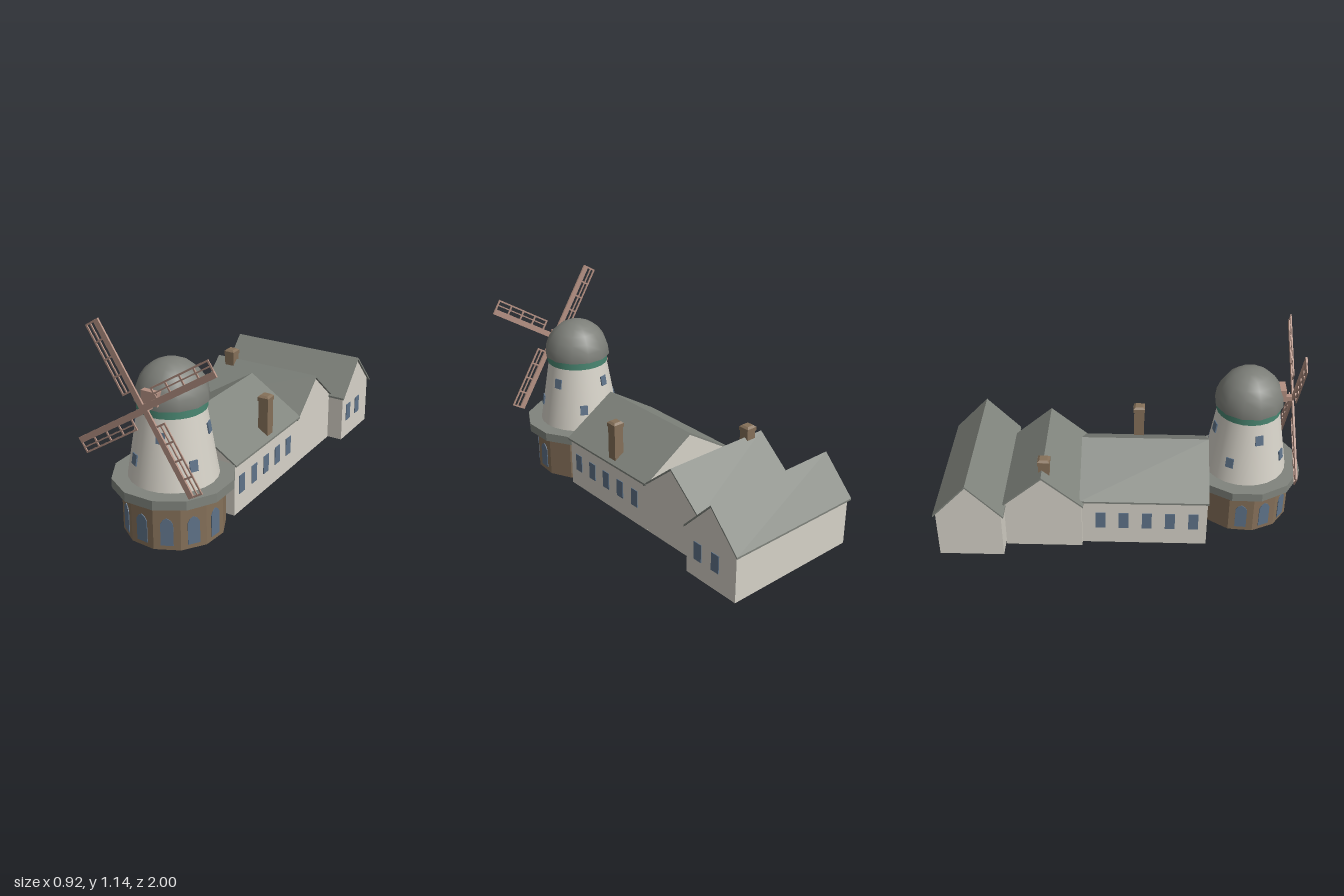
import * as THREE from 'three';
import { mergeGeometries } from 'three/addons/utils/BufferGeometryUtils.js';

const mat = (name, color, extra = {}) => {
  const m = new THREE.MeshStandardMaterial({ color, ...extra });
  m.name = name;
  return m;
};

export function createModel() {
  const cream = mat('cream plaster', 0xd6d2c8, { side: THREE.DoubleSide });
  const brick = mat('brown brick', 0x857059, { flatShading: true });
  const slate = mat('grey roof', 0x80847d, { flatShading: true });
  const capGrey = mat('cap grey', 0x7d7f79);
  const glass = mat('blue glass', 0x5f7389);
  const green = mat('green band', 0x4a8772);
  const timber = mat('sail timber', 0xb39082);

  const model = new THREE.Group();
  const add = (parent, name, geo, material, x = 0, y = 0, z = 0) => {
    const mesh = new THREE.Mesh(geo, material);
    mesh.name = name;
    mesh.position.set(x, y, z);
    parent.add(mesh);
    return mesh;
  };
  const group = (parent, name, x = 0, y = 0, z = 0) => {
    const g = new THREE.Group();
    g.name = name;
    g.position.set(x, y, z);
    parent.add(g);
    return g;
  };
  const polygon = (points) => new THREE.Shape(points.map(([x, y]) => new THREE.Vector2(x, y)));
  const rad = THREE.MathUtils.degToRad;

  // ---- Tower mill ----
  const mill = group(model, 'mill', 0.05, 0, 0.695);
  add(mill, 'brickBase', new THREE.CylinderGeometry(0.264, 0.264, 0.25, 12), brick, 0, 0.125)
    .rotation.y = rad(15 - 4.5);
  add(mill, 'gallery', new THREE.CylinderGeometry(0.316, 0.316, 0.05, 12), slate, 0, 0.275)
    .rotation.y = rad(15);
  add(mill, 'towerBody', new THREE.CylinderGeometry(0.169, 0.232, 0.38, 24, 1, true), cream, 0, 0.49);
  add(mill, 'greenBand', new THREE.CylinderGeometry(0.177, 0.177, 0.045, 24), green, 0, 0.687);

  // Domed cap with a flat underside
  const dome = new THREE.SphereGeometry(0.19, 12, 6, 0, Math.PI * 2, 0, Math.PI / 2);
  dome.scale(1, 1.08, 1);
  const underside = new THREE.CircleGeometry(0.19, 12);
  underside.rotateX(Math.PI / 2);
  const cap = add(mill, 'cap', mergeGeometries([dome, underside]), capGrey, 0, 0.707);
  cap.rotation.y = rad(15);

  // Pointed arch windows on the brick base
  const arch = new THREE.ExtrudeGeometry(polygon([
    [-0.032, 0.025], [0.032, 0.025], [0.032, 0.145], [0.02, 0.165],
    [0, 0.177], [-0.02, 0.165], [-0.032, 0.145]]), { depth: 0.006, bevelEnabled: false });
  for (let i = -3; i <= 3; i++) {
    const holder = group(mill, 'archWindow');
    holder.rotation.y = rad(-4.5 + 30 * i);
    add(holder, 'archPane', arch, glass, 0, 0, 0.253);
  }

  // Two rings of small windows, leaning with the tower wall
  for (const [angle, y] of [[16, 0.57], [-28, 0.423]]) {
    for (let i = 0; i < 4; i++) {
      const holder = group(mill, 'towerWindow');
      holder.rotation.y = rad(angle + 90 * i);
      const r = 0.232 - (y - 0.3) * 0.063 / 0.38;
      add(holder, 'towerPane', new THREE.BoxGeometry(0.044, 0.057, 0.009), glass, 0, y, r)
        .rotation.x = -Math.atan(0.063 / 0.38);
    }
  }

  // Sail shaft and its housing
  add(mill, 'shaftHousing', new THREE.BoxGeometry(0.094, 0.07, 0.1), timber, 0.003, 0.77, 0.143);
  add(mill, 'sailShaft', new THREE.BoxGeometry(0.028, 0.028, 0.14), timber, 0.003, 0.732, 0.165);

  // Four lattice sails
  const sails = group(mill, 'sails', 0.003, 0.732, 0.235);
  const bar = (x0, x1, y0, y1, depth) => {
    const g = new THREE.BoxGeometry(x1 - x0, y1 - y0, depth);
    g.translate((x0 + x1) / 2, (y0 + y1) / 2, 0);
    return g;
  };
  const bars = [
    bar(0, 0.475, -0.011, 0.021, 0.01),
    bar(0.097, 0.475, 0.069, 0.078, 0.006),
    bar(0.097, 0.475, 0.043, 0.05, 0.006),
  ];
  for (let i = 0; i < 5; i++) {
    const x = 0.097 + i * 0.0925;
    bars.push(bar(x, x + 0.009, 0.01, 0.078, 0.006));
  }
  const sail = mergeGeometries(bars);
  for (let i = 0; i < 4; i++) {
    add(sails, 'sail', sail, timber).rotation.z = rad(32.5 + 90 * i);
  }

  // ---- Gabled buildings: the ridge runs along local z, the walls are open below ----
  function building(name, o) {
    const g = group(model, name, o.x, 0, o.z);
    if (o.across) g.rotation.y = Math.PI / 2;
    const t = 0.011;
    const { halfRoof: hr, halfWall: hw, roofLength, wallLength, ridge, eave } = o;
    const wallTop = ridge - t - (ridge - eave) * hw / hr;

    const walls = [];
    const gable = polygon([[-hw, 0], [hw, 0], [hw, wallTop], [0, ridge - t], [-hw, wallTop]]);
    for (const s of [0, 1]) {
      const end = new THREE.ShapeGeometry(gable);
      end.translate(0, 0, wallLength / 2);
      end.rotateY(s * Math.PI);
      const side = new THREE.PlaneGeometry(wallLength, wallTop);
      side.translate(0, wallTop / 2, hw);
      side.rotateY(Math.PI / 2 + s * Math.PI);
      walls.push(end, side);
    }
    add(g, 'walls', mergeGeometries(walls), cream);

    const roof = new THREE.ExtrudeGeometry(polygon([
      [-hr, eave - t], [0, ridge - t], [hr, eave - t], [hr, eave], [0, ridge], [-hr, eave]]),
    { depth: roofLength, bevelEnabled: false });
    add(g, 'roof', roof, slate, 0, 0, -roofLength / 2);
  }
  building('longHall', { x: -0.029, z: 0.132, halfRoof: 0.317, halfWall: 0.301,
    roofLength: 0.703, wallLength: 0.69, ridge: 0.5, eave: 0.299 });
  building('middleHouse', { x: -0.046, z: -0.418, across: true, halfRoof: 0.22, halfWall: 0.21,
    roofLength: 0.662, wallLength: 0.634, ridge: 0.478, eave: 0.289 });
  building('rearHouse', { x: -0.045, z: -0.81, across: true, halfRoof: 0.19, halfWall: 0.176,
    roofLength: 0.835, wallLength: 0.81, ridge: 0.478, eave: 0.278 });

  // Wall windows: both sides of the hall, one gable of the rear house
  const pane = new THREE.BoxGeometry(0.008, 0.104, 0.054);
  for (const z of [0.402, 0.274, 0.147, 0.02, -0.107]) {
    add(model, 'hallWindow', pane, glass, 0.272, 0.159, z);
    add(model, 'hallWindow', pane, glass, -0.33, 0.159, z);
  }
  for (const z of [-0.715, -0.841]) add(model, 'rearWindow', pane, glass, 0.36, 0.159, z);

  // Chimneys, standing on the ground and rising through the roofs
  for (const [x, z] of [[0.238, 0.094], [-0.28, -0.408]]) {
    const chimney = group(model, 'chimney', x, 0, z);
    add(chimney, 'chimneyStack', new THREE.BoxGeometry(0.058, 0.52, 0.058), brick, 0, 0.26);
    add(chimney, 'chimneyCap', new THREE.BoxGeometry(0.066, 0.022, 0.066), brick, 0, 0.519);
    const top = new THREE.CylinderGeometry(0.03, 0.046, 0.01, 4);
    top.rotateY(Math.PI / 4);
    add(chimney, 'chimneyTop', top, brick, 0, 0.535);
  }
  return model;
}
